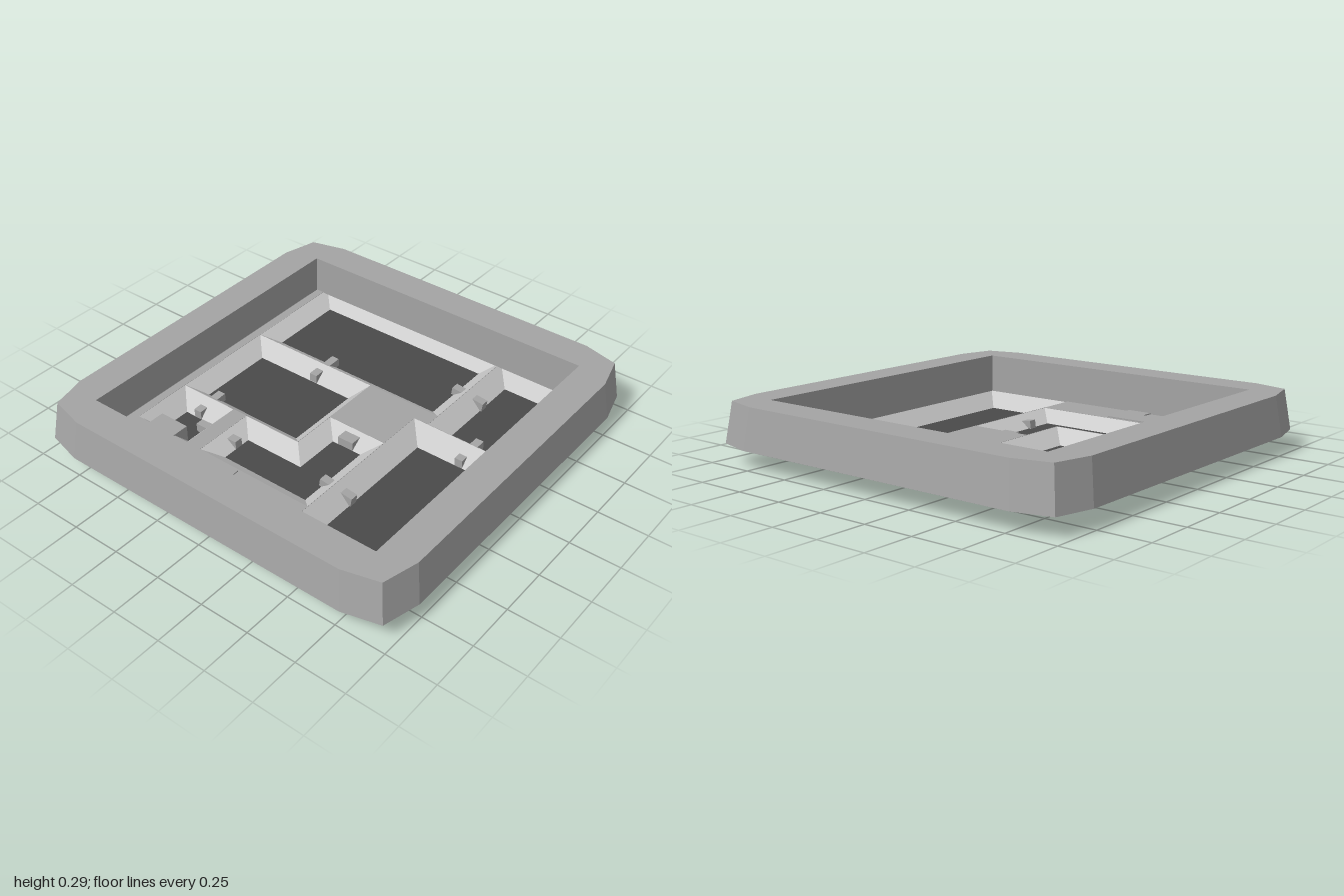
import * as THREE from 'three';

const paint = color => new THREE.MeshStandardMaterial({ color, flatShading: true });
const stone = paint(0xa4a4a4), light = paint(0xcccccc), dark = paint(0x4a4a4a);
const BASE = 0.09, SLOPE = 0.08;

const rect = (x0, x1, z0, z1) => [[x0, z0], [x1, z0], [x1, z1], [x0, z1]];
const vectors = pts => pts.map(([x, z]) => new THREE.Vector2(x, z));

// Outline in x and z, with optional holes
function outline(pts, holes = []) {
  const shape = new THREE.Shape(vectors(pts));
  holes.forEach(h => shape.holes.push(new THREE.Path(vectors(h))));
  return shape;
}

// Flat slab hanging down from y = top
function slab(pts, top, depth, holes) {
  const g = new THREE.ExtrudeGeometry(outline(pts, holes), { depth, bevelEnabled: false });
  return g.rotateX(Math.PI / 2).translate(0, top, 0);
}

// Push every edge of a right-angled outline outwards
function grow(pts, d) {
  const n = pts.length;
  const normal = i => {
    const [ax, az] = pts[i % n], [bx, bz] = pts[(i + 1) % n];
    return [Math.sign(bz - az), -Math.sign(bx - ax)];
  };
  return pts.map(([x, z], i) => {
    const p = normal(i + n - 1), q = normal(i);
    return [x + d * (p[0] + q[0]), z + d * (p[1] + q[1])];
  });
}

// Sloping walls between a rim and a bottom outline
function walls(rim, bottom, yTop, yBottom, inward) {
  const pos = [];
  rim.forEach((r, i) => {
    const j = (i + 1) % rim.length;
    const a = [r[0], yTop, r[1]], b = [rim[j][0], yTop, rim[j][1]];
    const A = [bottom[i][0], yBottom, bottom[i][1]], B = [bottom[j][0], yBottom, bottom[j][1]];
    pos.push(...(inward ? [a, B, b, a, A, B] : [a, b, B, a, B, A]).flat());
  });
  const g = new THREE.BufferGeometry();
  g.setAttribute('position', new THREE.Float32BufferAttribute(pos, 3));
  g.computeVertexNormals();
  return g;
}

export function createModel() {
  const model = new THREE.Group();
  const add = (name, geometry, material = stone, parent = model) => {
    const mesh = new THREE.Mesh(geometry, material);
    mesh.name = name;
    parent.add(mesh);
    return mesh;
  };

  // Frame with clipped corners, tapering towards the top
  const corner = [[1, 0.77], [0.953, 0.953], [0.77, 1]];
  const edge = [];
  for (let k = 0; k < 4; k++) {
    for (const [x, z] of corner) {
      const c = [1, 0, -1, 0][k], s = [0, 1, 0, -1][k];
      edge.push([x * c - z * s, x * s + z * c]);
    }
  }
  const frame = slab(edge, 0.29, 0.2, [rect(-0.803, 0.803, -0.803, 0.803)]);
  const p = frame.attributes.position;
  for (let i = 0; i < p.count; i++) {
    const x = p.getX(i), z = p.getZ(i);
    if (p.getY(i) > 0.2 && Math.max(Math.abs(x), Math.abs(z)) > 0.85) {
      p.setX(i, x * 0.972);
      p.setZ(i, z * 0.972);
    }
  }
  frame.computeVertexNormals();
  add('frame', frame);

  // Sunken rooms: bottom outline and bottom height
  const rooms = [
    ['backLeftRoom', rect(-0.68, 0.28, -0.76, -0.36), 0.03],
    ['backRightRoom', rect(0.44, 0.76, -0.76, -0.28), 0.005],
    ['frontRightRoom', rect(0.36, 0.76, -0.12, 0.76), 0],
    ['middleRoom', rect(-0.68, -0.12, -0.2, 0.2), 0.02],
    ['smallRoom', rect(-0.68, -0.52, 0.36, 0.52), 0.008],
    ['cornerRoom', [[-0.28, 0.36], [0.04, 0.36], [0.04, 0.12], [0.2, 0.12], [0.2, 0.52], [-0.28, 0.52]], 0.03],
  ];
  const rims = rooms.map(([, pts]) => grow(pts, SLOPE - 0.001));
  add('floor', slab(rect(-0.88, 0.88, -0.88, 0.88), BASE + 0.004, 0.004, rims));

  // Each room: dark inner floor, light inner walls and an outer shell
  rooms.forEach(([name, pts, y], i) => {
    const room = new THREE.Group();
    room.name = name;
    model.add(room);
    const wide = grow(pts, 0.003);
    const bottom = new THREE.ShapeGeometry(outline(wide)).rotateX(Math.PI / 2).translate(0, y, 0);
    add('shellBottom', bottom, stone, room);
    add('shellWalls', walls(grow(pts, SLOPE + 0.001), wide, BASE, y, false), stone, room);
    add('roomFloor', slab(pts, y + 0.004, 0.002), dark, room);
    add('innerWalls', walls(rims[i], pts, BASE + 0.003, y + 0.003, true), light, room);
  });

  // Stepped channel leading from the small room under the frame
  add('channel', slab([[-0.68, 0.52], [-0.52, 0.52], [-0.52, 0.61], [-0.115, 0.61],
    [-0.115, 0.86], [-0.245, 0.86], [-0.245, 0.74], [-0.68, 0.74]], 0.1, 0.08));

  // Bars through the ridges: start x, z, y and end x, z, y
  const bars = [
    [-0.34, -0.38, 0.03, -0.34, -0.2, 0.025],
    [0.27, -0.555, 0.03, 0.45, -0.555, 0.008],
    [0.59, -0.3, 0.006, 0.59, -0.12, 0.003],
    [-0.605, 0.185, 0.02, -0.605, 0.36, 0.01],
    [-0.53, 0.425, 0.02, -0.28, 0.425, 0.03],
    [0.19, 0.385, 0.03, 0.37, 0.385, 0.004],
  ];
  const H = 0.045;
  for (const [x0, z0, y0, x1, z1, y1] of bars) {
    const a = new THREE.Vector3(x0, y0 + H / 2, z0), b = new THREE.Vector3(x1, y1 + H / 2, z1);
    const bar = add('passage', new THREE.BoxGeometry(0.042, H, a.distanceTo(b)));
    bar.position.copy(a).lerp(b, 0.5);
    bar.lookAt(b);
  }
  // Single block at the back end of the corner room
  add('cornerBlock', new THREE.BoxGeometry(0.085, 0.045, 0.06).translate(0.113, 0.055, 0.09));

  return model;
}
